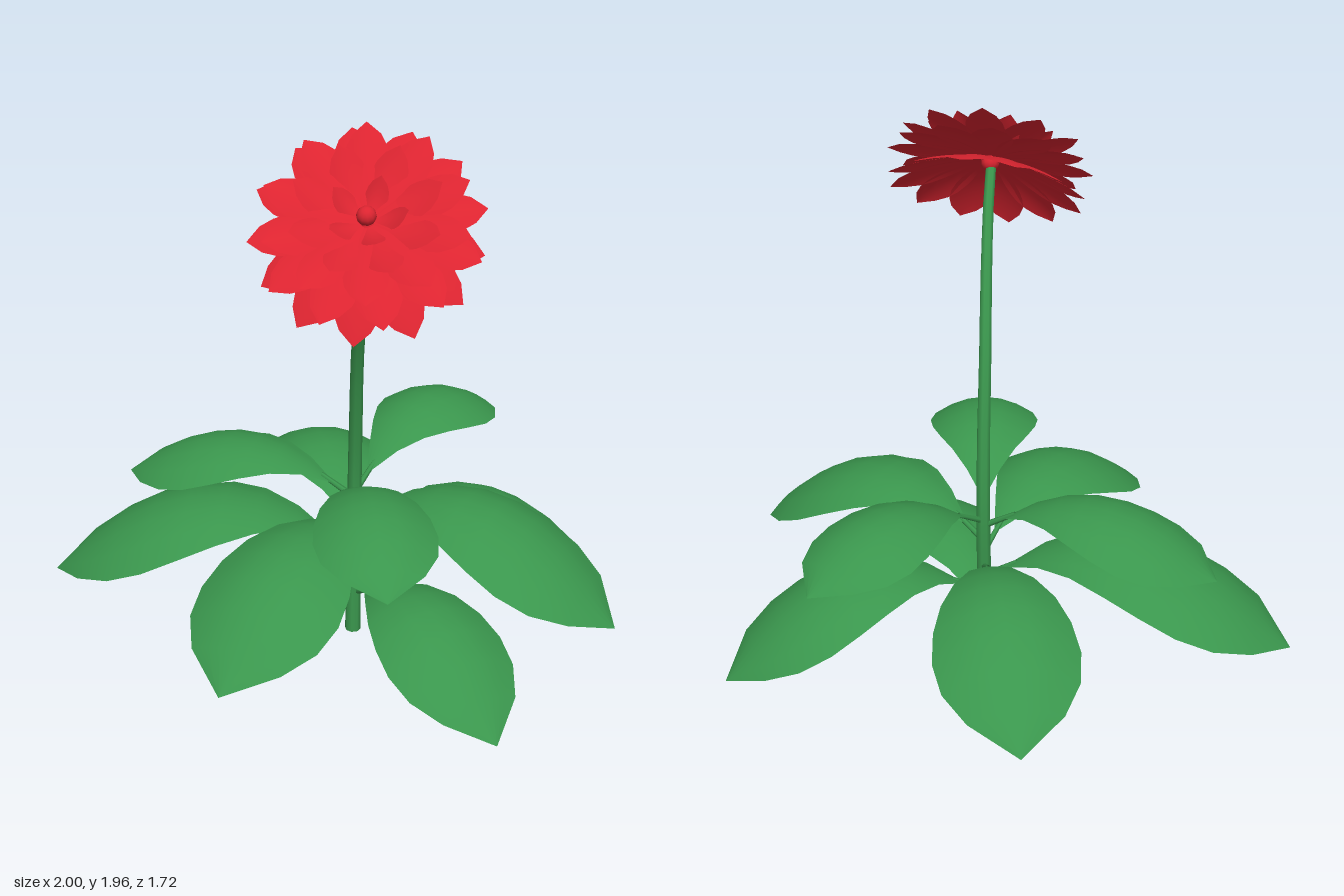
import * as THREE from 'three';

const V = (x, y, z) => new THREE.Vector3(x, y, z);
const lerp = THREE.MathUtils.lerp;

// Half width of a blade from base to tip, as a fraction of its widest point
const OUTLINE = [0.03, 0.3, 0.56, 0.79, 0.94, 1, 0.92, 0.64, 0];

// Blade lying along +z: arched by rise, tip moved by drop, edges lowered by cup
function bladeGeometry(length, half, rise, drop, cup) {
  const across = 6, rows = OUTLINE.length;
  const pos = [], index = [];
  OUTLINE.forEach((w, r) => {
    const t = r / (rows - 1);
    for (let i = 0; i <= across; i++) {
      const s = (i / across) * 2 - 1;
      pos.push(s * half * w, drop * t + 4 * rise * t * (1 - t) - cup * s * s * w * w, length * t);
      if (r < rows - 1 && i < across) {
        const a = r * (across + 1) + i, b = a + across + 1;
        index.push(a, b, a + 1);
        if (r < rows - 2) index.push(a + 1, b, b + 1);
        else index.push(a + 1, b, b + 1);
      }
    }
  });
  const g = new THREE.BufferGeometry();
  g.setAttribute('position', new THREE.Float32BufferAttribute(pos, 3));
  g.setIndex(index);
  g.computeVertexNormals();
  return g;
}

// Tube along a path, narrowing from r0 to r1
function taperedTube(path, segments, r0, r1, sides) {
  const g = new THREE.TubeGeometry(path, segments, 1, sides);
  const p = g.attributes.position, v = V(0, 0, 0);
  for (let i = 0; i < p.count; i++) {
    const t = Math.floor(i / (sides + 1)) / segments;
    const c = path.getPointAt(t);
    v.fromBufferAttribute(p, i).sub(c).multiplyScalar(lerp(r0, r1, t)).add(c);
    p.setXYZ(i, v.x, v.y, v.z);
  }
  return g;
}

export function createModel() {
  const model = new THREE.Group();
  const green = new THREE.MeshStandardMaterial({ color: 0x3a964d, side: THREE.DoubleSide });
  green.name = 'leaf green';
  const red = new THREE.MeshStandardMaterial({ color: 0xdc2430, side: THREE.DoubleSide });
  red.name = 'petal red';

  const add = (parent, name, geometry, material) => {
    const mesh = new THREE.Mesh(geometry, material);
    mesh.name = name;
    parent.add(mesh);
    return mesh;
  };

  // Stem, bending forward towards the flower
  const path = new THREE.CatmullRomCurve3([
    V(0.085, 0, -0.01), V(0.085, 0.3, -0.022), V(0.085, 0.6, -0.026), V(0.093, 0.86, 0.012),
    V(0.108, 1.14, 0.09), V(0.135, 1.38, 0.2), V(0.165, 1.6, 0.335), V(0.175, 1.7, 0.4),
  ]);
  add(model, 'stem', taperedTube(path, 14, 0.028, 0.018, 8), green);
  const foot = add(model, 'stemFoot', new THREE.CircleGeometry(0.028, 8), green);
  foot.rotation.x = Math.PI / 2;
  foot.position.set(0.085, 0.001, -0.01);

  // Leaves: tip x, y, z, then base height, half width, arch
  const leaves = [
    [0.65, 0.08, 0.66, 0.2, 0.22, 0.21],
    [0.85, 0.11, -0.57, 0.32, 0.24, 0.22],
    [-1.0, 0.18, 0.05, 0.38, 0.28, 0.23],
    [-0.28, 0.265, -0.86, 0.42, 0.24, 0.2],
    [-0.2, 0.315, 0.86, 0.48, 0.25, 0.19],
    [1.0, 0.3, 0.27, 0.53, 0.26, 0.21],
    [-0.75, 0.52, -0.12, 0.59, 0.215, 0.15],
    [0.46, 0.62, -0.71, 0.61, 0.2, 0.155],
    [0.3, 0.62, 0.72, 0.61, 0.2, 0.155],
  ];
  const foliage = new THREE.Group();
  foliage.name = 'leaves';
  model.add(foliage);
  for (const [x, y, z, baseY, half, rise] of leaves) {
    const root = V(0.085, baseY - 0.05, -0.025);
    const out = V(x - root.x, 0, z - root.z);
    const reach = out.length(), gap = 0.08;
    out.normalize();
    const base = root.clone().addScaledVector(out, gap).setY(baseY);
    const leaf = add(foliage, 'leaf',
      bladeGeometry(reach - gap, half, rise, y - baseY, half * 0.4), green);
    leaf.position.copy(base);
    leaf.rotation.y = Math.atan2(out.x, out.z);
    // Short stalk running a little way under the blade
    const end = base.clone().addScaledVector(out, 0.04).add(V(0, 0.025, 0));
    add(foliage, 'leafStalk',
      taperedTube(new THREE.LineCurve3(root, end), 1, 0.012, 0.008, 6), green);
  }

  // Flower head, tilted forward
  const flower = new THREE.Group();
  flower.name = 'flower';
  flower.position.set(0.18, 1.71, 0.41);
  flower.quaternion.setFromUnitVectors(V(0, 1, 0), V(0.03, 0.8, 0.6).normalize());
  model.add(flower);

  // Petal rows: count, length, half width, arch, tip height, turn, base height
  const rows = [
    [12, 0.33, 0.072, 0.02, -0.11, 0, 0],
    [12, 0.34, 0.07, 0.015, -0.01, 0.5, 0.01],
    [10, 0.3, 0.066, 0.005, 0.055, 0.2, 0.02],
    [8, 0.22, 0.055, -0.01, 0.075, 0.6, 0.02],
    [5, 0.11, 0.035, -0.01, 0.065, 0.3, 0.02],
  ];
  for (const [count, length, half, rise, drop, turn, lift] of rows) {
    const geometry = bladeGeometry(length, half, rise, drop, 0.012);
    for (let i = 0; i < count; i++) {
      const petal = add(flower, 'petal', geometry, red);
      petal.rotation.y = ((i + turn) / count) * Math.PI * 2;
      petal.position.set(0, lift, 0).addScaledVector(
        V(Math.sin(petal.rotation.y), 0, Math.cos(petal.rotation.y)), 0.012);
    }
  }
  // Centre bud and the swelling beneath the petals
  add(flower, 'bud', new THREE.SphereGeometry(0.03, 10, 8), red).position.y = 0.05;
  add(flower, 'receptacle', new THREE.SphereGeometry(0.032, 10, 8), red);

  return model;
}
